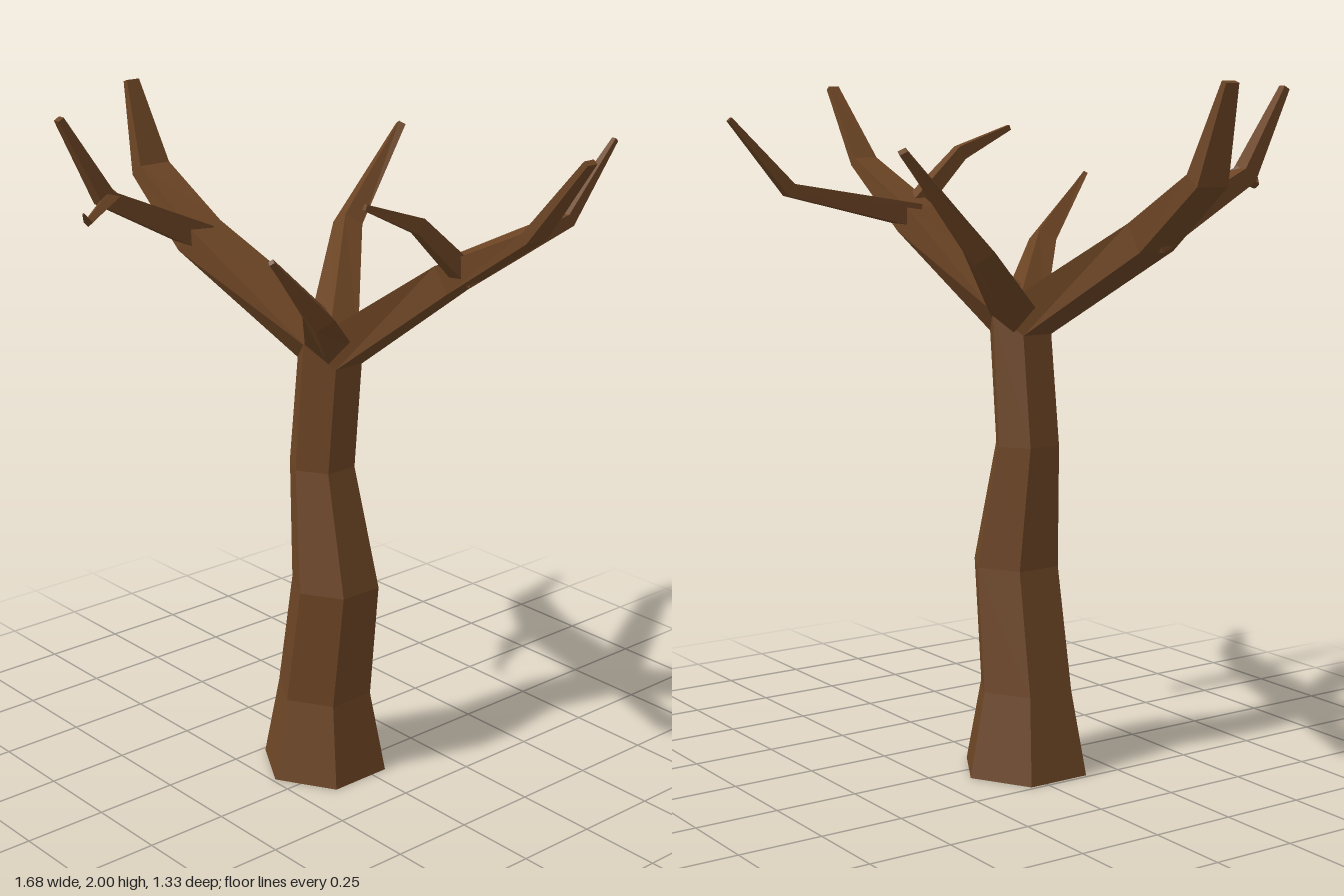
import * as THREE from 'three';

const V = (x, y, z) => new THREE.Vector3(x, y, z);
const UP = V(0, 1, 0);

// Closed skin through rings of equal corner count, capped at both ends
function loft(rings) {
  const n = rings[0].length, pos = [], idx = [];
  rings.forEach(r => r.forEach(p => pos.push(p.x, p.y, p.z)));
  for (let k = 0; k < rings.length - 1; k++) {
    for (let i = 0; i < n; i++) {
      const a = k * n + i, a2 = k * n + (i + 1) % n;
      idx.push(a, a + n, a2 + n, a, a2 + n, a2);
    }
  }
  const last = (rings.length - 1) * n;
  for (let i = 1; i < n - 1; i++) {
    idx.push(0, i, i + 1, last, last + i + 1, last + i);
  }
  const g = new THREE.BufferGeometry();
  g.setAttribute('position', new THREE.Float32BufferAttribute(pos, 3));
  g.setIndex(idx);
  g.computeVertexNormals();
  return g;
}

// Four-cornered rings along a path; each point is [x, y, z, halfWidth, halfHeight]
function branchRings(path, diamond = false) {
  const pts = path.map(p => V(p[0], p[1], p[2]));
  const dir = i => pts[i + 1].clone().sub(pts[i]).normalize();
  return path.map(([, , , w, h], i) => {
    const t = V(0, 0, 0);
    if (i > 0) t.add(dir(i - 1));
    if (i < pts.length - 1) t.add(dir(i));
    t.normalize();
    const side = t.clone().cross(UP).normalize();
    const nor = side.clone().cross(t);
    const s = diamond ? 1 : Math.SQRT2;
    return [0, 1, 2, 3].map(k => {
      const a = k * Math.PI / 2 + (diamond ? 0 : Math.PI / 4);
      return pts[i].clone()
        .addScaledVector(side, s * w * Math.cos(a))
        .addScaledVector(nor, s * h * Math.sin(a));
    });
  });
}

export function createModel() {
  const group = new THREE.Group();
  const bark = new THREE.MeshStandardMaterial({ color: 0x6b4424, flatShading: true });
  const add = (name, rings) => {
    const m = new THREE.Mesh(loft(rings), bark);
    m.name = name;
    group.add(m);
  };

  // Six-sided wavering trunk: [x, y, z, radius, rise of the front and back corners]
  const trunk = [
    [-0.07, 0, 0.045, 0.195, 0],
    [-0.07, 0.25, 0.045, 0.146, 0],
    [-0.018, 0.61, 0.045, 0.135, 0],
    [-0.073, 0.97, 0.047, 0.1, 0],
    [-0.04, 1.29, 0.045, 0.097, 0.065],
  ].map(([x, y, z, r, rise]) => [0, 1, 2, 3, 4, 5].map(i => {
    const a = i * Math.PI / 3;
    return V(x - r * Math.sin(a), y + (i % 3 ? 0 : rise), z + r * Math.cos(a));
  }));
  add('trunk', trunk);

  // Two main limbs grow from the halves of the trunk's top, sharing its ridge
  const top = trunk[trunk.length - 1];
  add('rightMainLimb', [[top[3], top[0], top[1], top[2]], ...branchRings([
    [-0.04, 1.32, 0.05, 0.09, 0.05],
    [-0.51, 1.585, 0.145, 0.063, 0.045],
    [-0.75, 1.745, 0.14, 0.052, 0.027],
    [-0.835, 1.998, 0.14, 0.022, 0.009],
  ]).slice(1)]);
  add('leftMainLimb', [[top[0], top[3], top[4], top[5]], ...branchRings([
    [-0.04, 1.32, 0.05, 0.09, 0.05],
    [0.36, 1.6, -0.055, 0.055, 0.042],
    [0.65, 1.762, -0.062, 0.04, 0.015],
    [0.835, 1.985, -0.063, 0.018, 0.008],
  ]).slice(1)]);

  // Smaller limbs from the fork
  add('backLimb', branchRings([
    [-0.07, 1.34, 0.01, 0.075, 0.055],
    [-0.415, 1.56, -0.35, 0.047, 0.04],
    [-0.468, 1.825, -0.615, 0.018, 0.014],
  ], true));
  add('frontLimb', branchRings([
    [-0.01, 1.34, 0.07, 0.07, 0.055],
    [0.25, 1.53, 0.33, 0.045, 0.04],
    [0.297, 1.725, 0.525, 0.01, 0.01],
  ], true));

  // Branches and twigs on the main limbs
  add('rightFrontBranch', branchRings([
    [-0.51, 1.58, 0.14, 0.042, 0.04],
    [-0.51, 1.745, 0.475, 0.026, 0.026],
    [-0.514, 1.985, 0.612, 0.012, 0.01],
  ]));
  add('rightTwig', branchRings([
    [-0.505, 1.75, 0.45, 0.025, 0.022],
    [-0.41, 1.712, 0.6, 0.013, 0.012],
    [-0.337, 1.76, 0.663, 0.003, 0.003],
  ], true));
  add('leftBackBranch', branchRings([
    [0.37, 1.61, -0.06, 0.043, 0.035],
    [0.377, 1.695, -0.475, 0.019, 0.02],
    [0.378, 1.897, -0.662, 0.007, 0.007],
  ]));
  add('leftFrontBranch', branchRings([
    [0.41, 1.615, -0.05, 0.022, 0.03],
    [0.448, 1.79, 0.16, 0.014, 0.022],
    [0.445, 1.865, 0.34, 0.006, 0.008],
  ]));

  return group;
}
